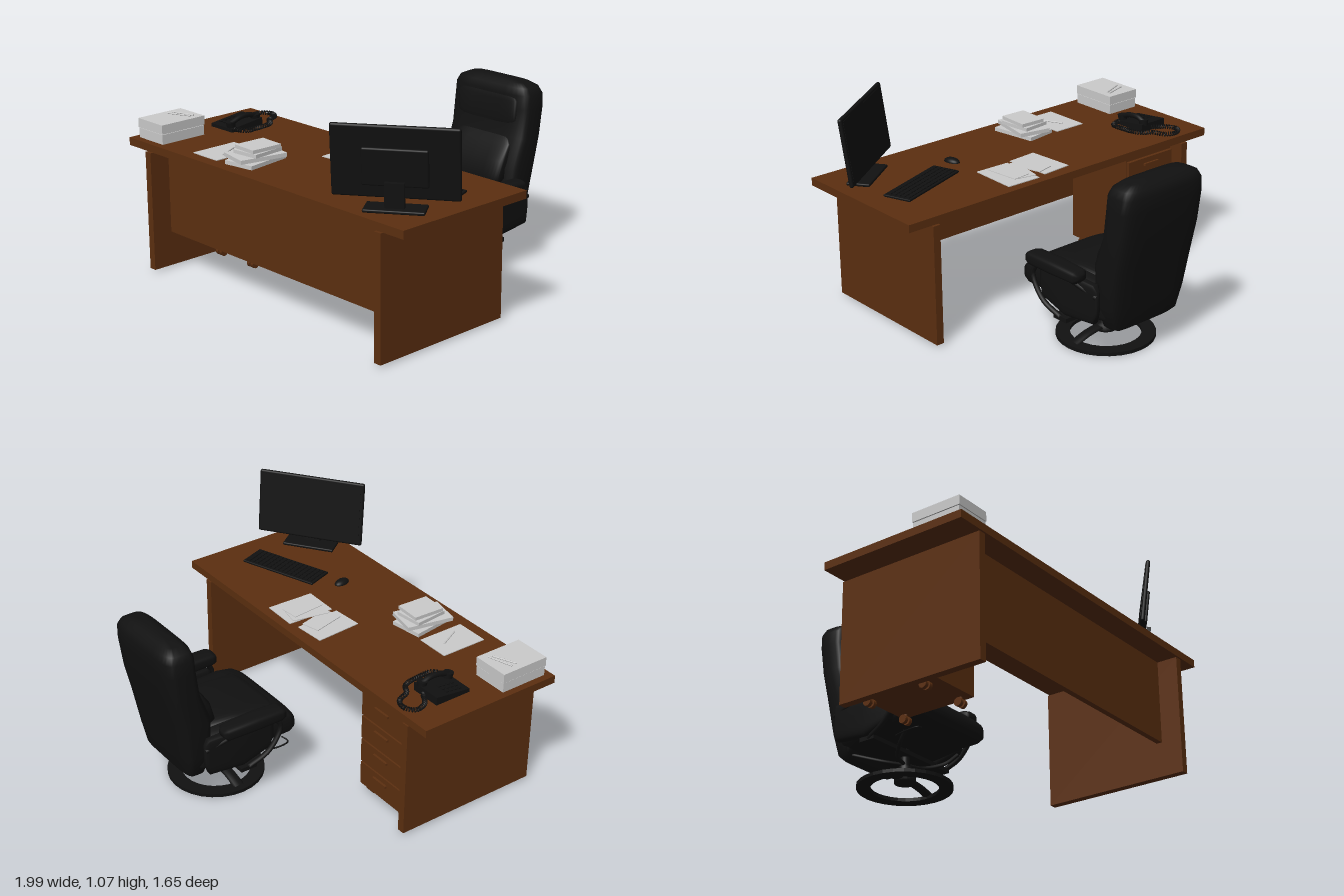
import * as THREE from 'three';
import { RoundedBoxGeometry } from 'three/addons/geometries/RoundedBoxGeometry.js';

const mat = (color) => new THREE.MeshStandardMaterial({ color });
const wood = mat(0x5c2f10), black = mat(0x111111), paper = mat(0xcccccc);
const V = (x, y, z) => new THREE.Vector3(x, y, z);

function add(parent, name, geo, material, pos = [0, 0, 0], rot = [0, 0, 0]) {
  const m = new THREE.Mesh(geo, material);
  m.name = name;
  m.position.set(...pos);
  m.rotation.set(...rot);
  parent.add(m);
  return m;
}
function group(parent, name, pos = [0, 0, 0], ry = 0) {
  const g = new THREE.Group();
  g.name = name;
  g.position.set(...pos);
  g.rotation.y = ry;
  parent.add(g);
  return g;
}
// box given by its limits on each axis
function span(parent, name, material, [x0, x1], [y0, y1], [z0, z1]) {
  return add(parent, name, new THREE.BoxGeometry(x1 - x0, y1 - y0, z1 - z0), material,
    [(x0 + x1) / 2, (y0 + y1) / 2, (z0 + z1) / 2]);
}
const tube = (pts, r, seg = 24, sides = 8) =>
  new THREE.TubeGeometry(new THREE.CatmullRomCurve3(pts.map((p) => V(...p))), seg, r, sides);

// closed soft body from sections [height, z centre, half width, half depth] stacked along y
function loft(rows, power = 0.45, n = 32) {
  const pos = [], idx = [];
  const soft = (v) => Math.sign(v) * Math.abs(v) ** power;
  for (const [t, c, hx, hz] of rows)
    for (let i = 0; i < n; i++) {
      const a = (i / n) * Math.PI * 2;
      pos.push(hx * soft(Math.cos(a)), t, c + hz * soft(Math.sin(a)));
    }
  const last = rows.length - 1, base = rows.length * n;
  pos.push(0, rows[0][0], rows[0][1], 0, rows[last][0], rows[last][1]);
  for (let i = 0; i < n; i++) {
    const j = (i + 1) % n;
    for (let r = 0; r < last; r++) {
      const a = r * n + i, b = r * n + j;
      idx.push(a, a + n, b, b, a + n, b + n);
    }
    idx.push(base, i, j, base + 1, last * n + j, last * n + i);
  }
  const g = new THREE.BufferGeometry();
  g.setAttribute('position', new THREE.Float32BufferAttribute(pos, 3));
  g.setIndex(idx);
  g.computeVertexNormals();
  return g;
}
// same, with sections [z, y centre, half width, half height] ordered from back to front
const loftZ = (rows, power) =>
  loft(rows.map(([z, y, hx, hy]) => [z, -y, hx, hy]), power).rotateX(Math.PI / 2);

function buildDesk(root) {
  const desk = group(root, 'desk');
  span(desk, 'deskTop', wood, [-1, 0.95], [0.636, 0.676], [0, 0.79]);
  span(desk, 'rightSidePanel', wood, [-0.87, -0.83], [0.01, 0.628], [0, 0.79]);
  span(desk, 'leftSidePanel', wood, [0.77, 0.81], [0.01, 0.628], [0, 0.79]);
  span(desk, 'modestyPanel', wood, [-0.83, 0.77], [0.19, 0.628], [0.65, 0.68]);
  // drawer unit on castors, opening towards the chair
  const unit = group(desk, 'drawerUnit');
  span(unit, 'drawerCase', wood, [-0.8, -0.48], [0.06, 0.61], [0.055, 0.46]);
  for (let i = 0; i < 4; i++) {
    const y = 0.068 + i * 0.135;
    span(unit, 'drawerFront', wood, [-0.795, -0.485], [y, y + 0.125], [0.037, 0.055]);
    span(unit, 'drawerHandle', wood, [-0.69, -0.59], [y + 0.085, y + 0.097], [0.025, 0.037]);
  }
  for (const x of [-0.765, -0.515])
    for (const z of [0.09, 0.41]) {
      for (const s of [-1, 1])
        add(unit, 'castorWheel', new THREE.CylinderGeometry(0.021, 0.021, 0.018, 14), wood,
          [x + s * 0.014, 0.032, z], [0, 0, Math.PI / 2]);
      add(unit, 'castorStem', new THREE.CylinderGeometry(0.009, 0.009, 0.04, 8), wood, [x, 0.045, z]);
    }
}

function buildMonitor(root) {
  const g = group(root, 'monitor', [0.735, 0.676, 0.625], 0.62);
  add(g, 'monitorBase', new RoundedBoxGeometry(0.28, 0.016, 0.12, 2, 0.006), black, [0, 0.008, 0]);
  add(g, 'monitorNeck', new THREE.BoxGeometry(0.09, 0.13, 0.02), black, [0, 0.07, 0.022], [0.1, 0, 0]);
  const head = group(g, 'screenHead', [0, 0.222, 0]);
  head.rotation.x = 0.13;
  add(head, 'screenFrame', new RoundedBoxGeometry(0.58, 0.345, 0.022, 3, 0.01), black);
  add(head, 'screen', new THREE.BoxGeometry(0.545, 0.305, 0.002), black, [0, 0.003, -0.0115]);
  add(head, 'screenBack', new RoundedBoxGeometry(0.3, 0.18, 0.02, 2, 0.008), black, [0, -0.02, 0.016]);
}

function buildKeyboardAndMouse(root) {
  const k = group(root, 'keyboard', [0.6, 0.676, 0.36], 0.34);
  add(k, 'keyboardBody', new RoundedBoxGeometry(0.44, 0.012, 0.15, 2, 0.004), black, [0, 0.006, 0]);
  for (let r = 0; r < 5; r++)
    for (let c = 0; c < 16; c++)
      add(k, 'key', new THREE.BoxGeometry(0.021, 0.006, 0.021), black,
        [-0.195 + c * 0.026, 0.014, -0.052 + r * 0.026]);
  add(root, 'mouse', new THREE.SphereGeometry(1, 20, 10, 0, Math.PI * 2, 0, Math.PI / 2), black,
    [0.3, 0.676, 0.505], [0, 0.2, 0]).scale.set(0.028, 0.022, 0.046);
}

function buildPhone(root) {
  const g = group(root, 'telephone', [-0.785, 0.676, 0.27]);
  // wedge body
  const side = new THREE.Shape([[-0.1, 0], [0.1, 0], [0.1, 0.018], [-0.1, 0.042]].map((p) => new THREE.Vector2(...p)));
  const body = new THREE.ExtrudeGeometry(side, { depth: 0.165, bevelEnabled: false });
  add(g, 'phoneBody', body.rotateY(-Math.PI / 2), black, [0.0825, 0, 0]);
  for (let r = 0; r < 4; r++)
    for (let c = 0; c < 3; c++)
      add(g, 'phoneKey', new THREE.BoxGeometry(0.018, 0.01, 0.016), black,
        [-0.055 + c * 0.027, 0.033 - r * 0.003, -0.02 + r * 0.026], [0.12, 0, 0]);
  // handset
  add(g, 'handsetGrip', tube([[0.05, 0.045, -0.085], [0.05, 0.062, -0.04], [0.05, 0.06, 0.02], [0.05, 0.038, 0.085]], 0.014), black);
  for (const [y, z] of [[0.044, -0.08], [0.034, 0.08]])
    add(g, 'handsetCup', new THREE.CylinderGeometry(0.026, 0.022, 0.03, 16), black, [0.05, y, z], [0.12, 0, 0]);
  // coiled cord
  const path = new THREE.CatmullRomCurve3([[-0.77, 0.17], [-0.84, 0.12], [-0.855, 0.06], [-0.81, 0.025], [-0.75, 0.045],
    [-0.72, 0.11], [-0.665, 0.15], [-0.645, 0.24], [-0.65, 0.33], [-0.71, 0.35]].map(([x, z]) => V(x, 0.69, z)));
  const coil = [];
  for (let i = 0; i <= 500; i++) {
    const u = i / 500, a = u * Math.PI * 2 * 50, t = path.getTangentAt(u);
    coil.push(path.getPointAt(u).add(V(-t.z, 0, t.x).multiplyScalar(0.01 * Math.cos(a))).add(V(0, 0.01 * Math.sin(a), 0)));
  }
  add(root, 'phoneCord', new THREE.TubeGeometry(new THREE.CatmullRomCurve3(coil), 800, 0.0035, 4), black);
}

function buildPapers(root) {
  const g = group(root, 'papers');
  // [x, z, width, depth, bottom, thickness, turn]
  const sheets = [
    [-0.87, 0.622, 0.19, 0.26, 0.676, 0.05, 0], [-0.87, 0.622, 0.195, 0.265, 0.729, 0.047, 0],
    [-0.47, 0.602, 0.18, 0.255, 0.676, 0.004, 0],
    [-0.25, 0.595, 0.17, 0.25, 0.676, 0.02, 0.15], [-0.25, 0.595, 0.17, 0.25, 0.699, 0.02, -0.2],
    [-0.245, 0.585, 0.15, 0.18, 0.722, 0.018, 0.1], [-0.24, 0.587, 0.14, 0.17, 0.743, 0.018, -0.04],
    [-0.005, 0.19, 0.165, 0.25, 0.676, 0.004, 0.07], [0.21, 0.175, 0.19, 0.255, 0.676, 0.004, -0.03],
    [0.05, 0.19, 0.1, 0.18, 0.68, 0.004, 0.25], [0.15, 0.175, 0.1, 0.2, 0.684, 0.003, -0.2],
    [0.2, 0.18, 0.1, 0.18, 0.687, 0.003, 0.1],
  ];
  for (const [x, z, w, d, y, h, a] of sheets)
    add(g, 'paperStack', new THREE.BoxGeometry(w, h, d), paper, [x, y + h / 2, z], [0, a, 0]);
  for (const [x, y, z, a] of [[-0.87, 0.779, 0.55, 0.3], [-0.87, 0.779, 0.575, 0.4], [-0.45, 0.683, 0.6, -1.1]])
    add(g, 'pen', new THREE.CylinderGeometry(0.004, 0.004, 0.13, 8).rotateZ(Math.PI / 2), paper, [x, y, z], [0, a, 0]);
}

function buildChair(root) {
  const g = group(root, 'chair', [0.105, 0, 0]);
  // ring foot, cross bar and column
  const ring = new THREE.Shape().absarc(0, 0, 0.245, 0, Math.PI * 2);
  ring.holes.push(new THREE.Path().absarc(0, 0, 0.175, 0, Math.PI * 2));
  add(g, 'footRing', new THREE.ExtrudeGeometry(ring, { depth: 0.018, bevelEnabled: false, curveSegments: 14 }).rotateX(-Math.PI / 2),
    black, [0, 0, -0.425]);
  const bar = tube([[-0.21, 0.012, 0], [-0.12, 0.04, 0], [0, 0.052, 0], [0.12, 0.04, 0], [0.21, 0.012, 0]], 0.012);
  add(g, 'footBar', bar, black, [0, 0, -0.425]).scale.z = 2.5;
  const profile = [[0, 0.03], [0.055, 0.03], [0.055, 0.065], [0.035, 0.07], [0.035, 0.115], [0.024, 0.12], [0.024, 0.22]];
  add(g, 'column', new THREE.LatheGeometry(profile.map((p) => new THREE.Vector2(...p)), 20), black, [0, 0, -0.425]);
  // under-seat carriers
  span(g, 'seatPlate', black, [-0.3, 0.3], [0.168, 0.19], [-0.47, -0.38]);
  for (const s of [-1, 1]) {
    add(g, 'seatCarrier', tube([[0, 0.13, -0.425], [s * 0.1, 0.135, -0.39], [s * 0.18, 0.165, -0.31], [s * 0.21, 0.21, -0.25]], 0.01), black);
    add(g, 'rearCarrier', tube([[0, 0.13, -0.425], [s * 0.09, 0.14, -0.5], [s * 0.17, 0.18, -0.63]], 0.01), black);
    add(g, 'armBracket', tube([[s * 0.29, 0.18, -0.42], [s * 0.305, 0.24, -0.31], [s * 0.305, 0.36, -0.24],
      [s * 0.3, 0.42, -0.3], [s * 0.295, 0.4, -0.5], [s * 0.28, 0.36, -0.66]], 0.013, 32), black);
    add(g, 'armSide', loftZ([[-0.66, 0.33, 0.012, 0.06], [-0.64, 0.32, 0.025, 0.1], [-0.45, 0.31, 0.03, 0.11],
      [-0.3, 0.33, 0.03, 0.085], [-0.27, 0.34, 0.015, 0.05]]), black, [s * 0.272, 0, 0]);
    add(g, 'armPad', loftZ([[-0.58, 0.445, 0.025, 0.015], [-0.565, 0.445, 0.045, 0.032], [-0.4, 0.447, 0.052, 0.036],
      [-0.26, 0.445, 0.05, 0.034], [-0.235, 0.445, 0.042, 0.026], [-0.228, 0.445, 0.025, 0.012]], 0.6), black, [s * 0.305, 0, 0]);
  }
  add(g, 'reclineLever', tube([[-0.2, 0.2, -0.32], [-0.24, 0.185, -0.25], [-0.24, 0.19, -0.15], [-0.2, 0.2, -0.16]], 0.004), black);
  // upholstery
  add(g, 'seat', loftZ([[-0.68, 0.28, 0.22, 0.09], [-0.55, 0.295, 0.255, 0.105], [-0.4, 0.31, 0.265, 0.1], [-0.25, 0.322, 0.272, 0.085],
    [-0.16, 0.314, 0.272, 0.072], [-0.125, 0.308, 0.26, 0.053], [-0.112, 0.305, 0.22, 0.025]]), black);
  add(g, 'seatCushion', loftZ([[-0.58, 0.36, 0.17, 0.05], [-0.4, 0.365, 0.19, 0.055], [-0.22, 0.365, 0.19, 0.045],
    [-0.16, 0.35, 0.17, 0.03]]), black);
  add(g, 'backrest', loft([[0.165, -0.675, 0.17, 0.02], [0.185, -0.66, 0.21, 0.055], [0.3, -0.655, 0.24, 0.082],
    [0.5, -0.675, 0.255, 0.1], [0.65, -0.72, 0.255, 0.088], [0.8, -0.74, 0.257, 0.088], [0.87, -0.743, 0.252, 0.088],
    [0.905, -0.742, 0.232, 0.075], [0.926, -0.738, 0.185, 0.05], [0.936, -0.735, 0.1, 0.022]]), black);
  add(g, 'lumbarCushion', loft([[0.4, -0.57, 0.15, 0.03], [0.45, -0.575, 0.19, 0.05], [0.54, -0.6, 0.195, 0.05],
    [0.62, -0.635, 0.19, 0.03], [0.66, -0.65, 0.15, 0.012]]), black);
  add(g, 'headCushion', loft([[0.7, -0.655, 0.15, 0.012], [0.74, -0.665, 0.2, 0.025], [0.84, -0.67, 0.2, 0.027],
    [0.89, -0.685, 0.15, 0.012]]), black);
}

export function createModel() {
  const root = new THREE.Group();
  root.name = 'officeDeskSet';
  for (const build of [buildDesk, buildMonitor, buildKeyboardAndMouse, buildPhone, buildPapers, buildChair]) build(root);
  return root;
}
